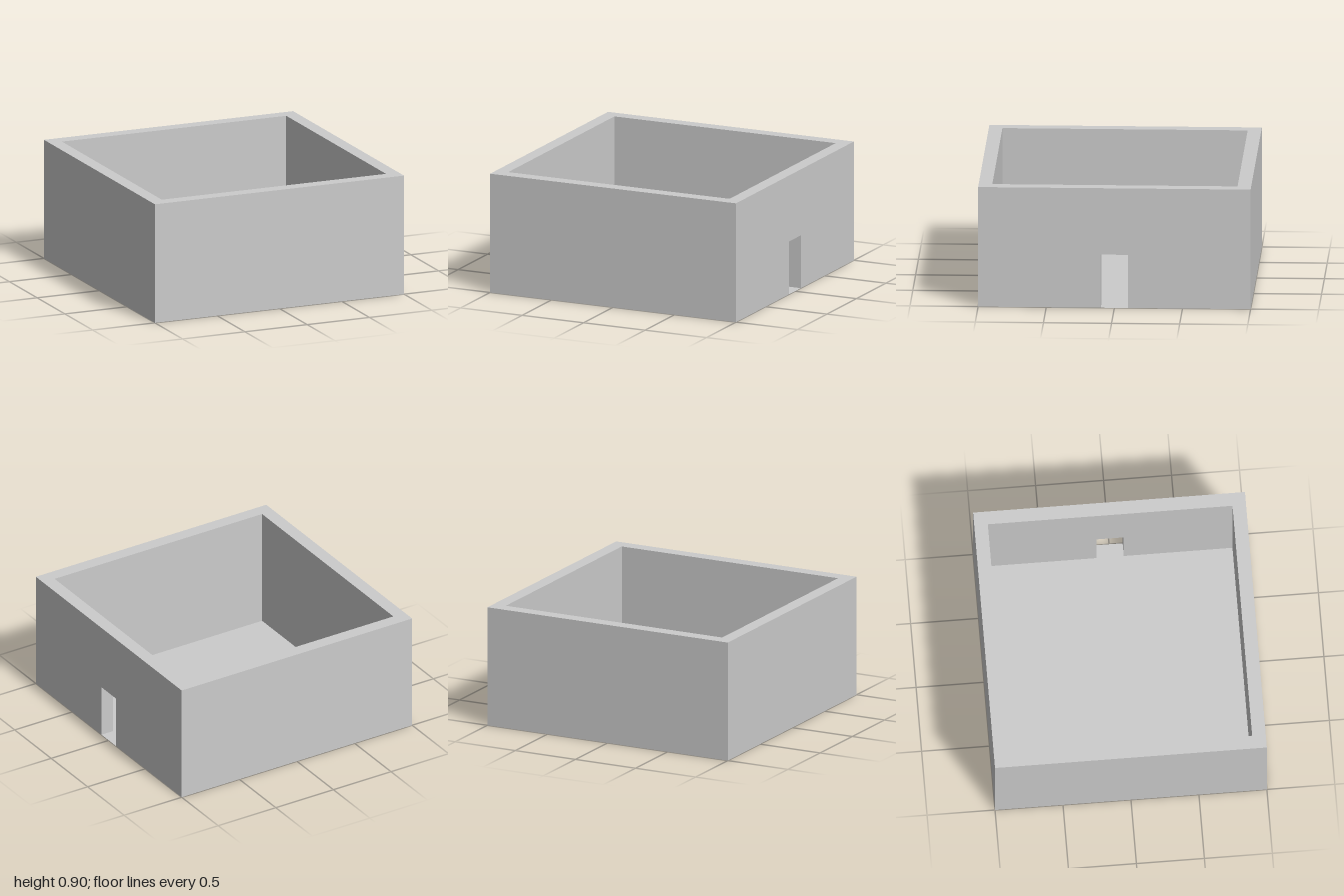
import * as THREE from 'three';

const HALF = 1, INNER = 0.9, HEIGHT = 0.9;   // outer and inner half widths, wall height
const DOOR_HALF = 0.1, DOOR_HEIGHT = 0.4;

const material = new THREE.MeshStandardMaterial({ color: 0xcccccc, flatShading: true, side: THREE.DoubleSide });

function add(parent, name, geometry) {
  const mesh = new THREE.Mesh(geometry, material);
  mesh.name = name;
  parent.add(mesh);
  return mesh;
}

// Upright wall sheet facing +z, optionally notched by the doorway
function wallSheet(half, hasDoor) {
  const points = [[half, 0], [half, HEIGHT], [-half, HEIGHT], [-half, 0]];
  if (hasDoor) {
    points.push([-DOOR_HALF, 0], [-DOOR_HALF, DOOR_HEIGHT], [DOOR_HALF, DOOR_HEIGHT], [DOOR_HALF, 0]);
  }
  return new THREE.ShapeGeometry(new THREE.Shape(points.map(([x, y]) => new THREE.Vector2(x, y))));
}

function square(half) {
  return [[-half, -half], [half, -half], [half, half], [-half, half]].map(([x, y]) => new THREE.Vector2(x, y));
}

export function createModel() {
  const model = new THREE.Group();
  model.name = 'walledRoom';

  // Outer and inner sheets of the four walls; the cavity between is open below
  ['front', 'left', 'back', 'right'].forEach((side, i) => {
    const angle = i * Math.PI / 2;
    const hasDoor = side === 'left';
    add(model, side + 'OuterWall', wallSheet(HALF, hasDoor).translate(0, 0, HALF).rotateY(angle));
    add(model, side + 'InnerWall',
      wallSheet(INNER, hasDoor).rotateY(Math.PI).translate(0, 0, INNER).rotateY(angle));
  });

  // Flat rim joining the wall sheets at the top
  const rim = new THREE.Shape(square(HALF));
  rim.holes.push(new THREE.Path(square(INNER)));
  add(model, 'topRim', new THREE.ShapeGeometry(rim).rotateX(-Math.PI / 2).translate(0, HEIGHT, 0));

  // Floor
  add(model, 'floor', new THREE.PlaneGeometry(2 * INNER, 2 * INNER).rotateX(-Math.PI / 2));

  // Doorway lining through the wall
  const depth = HALF - INNER, mid = (HALF + INNER) / 2;
  const doorway = new THREE.Group();
  doorway.name = 'doorway';
  doorway.position.x = mid;
  model.add(doorway);
  add(doorway, 'threshold', new THREE.PlaneGeometry(depth, 2 * DOOR_HALF).rotateX(-Math.PI / 2));
  add(doorway, 'lintel',
    new THREE.PlaneGeometry(depth, 2 * DOOR_HALF).rotateX(Math.PI / 2).translate(0, DOOR_HEIGHT, 0));
  for (const s of [1, -1]) {
    add(doorway, s > 0 ? 'frontJamb' : 'backJamb',
      new THREE.PlaneGeometry(depth, DOOR_HEIGHT).rotateY(s > 0 ? Math.PI : 0)
        .translate(0, DOOR_HEIGHT / 2, s * DOOR_HALF));
  }
  return model;
}
